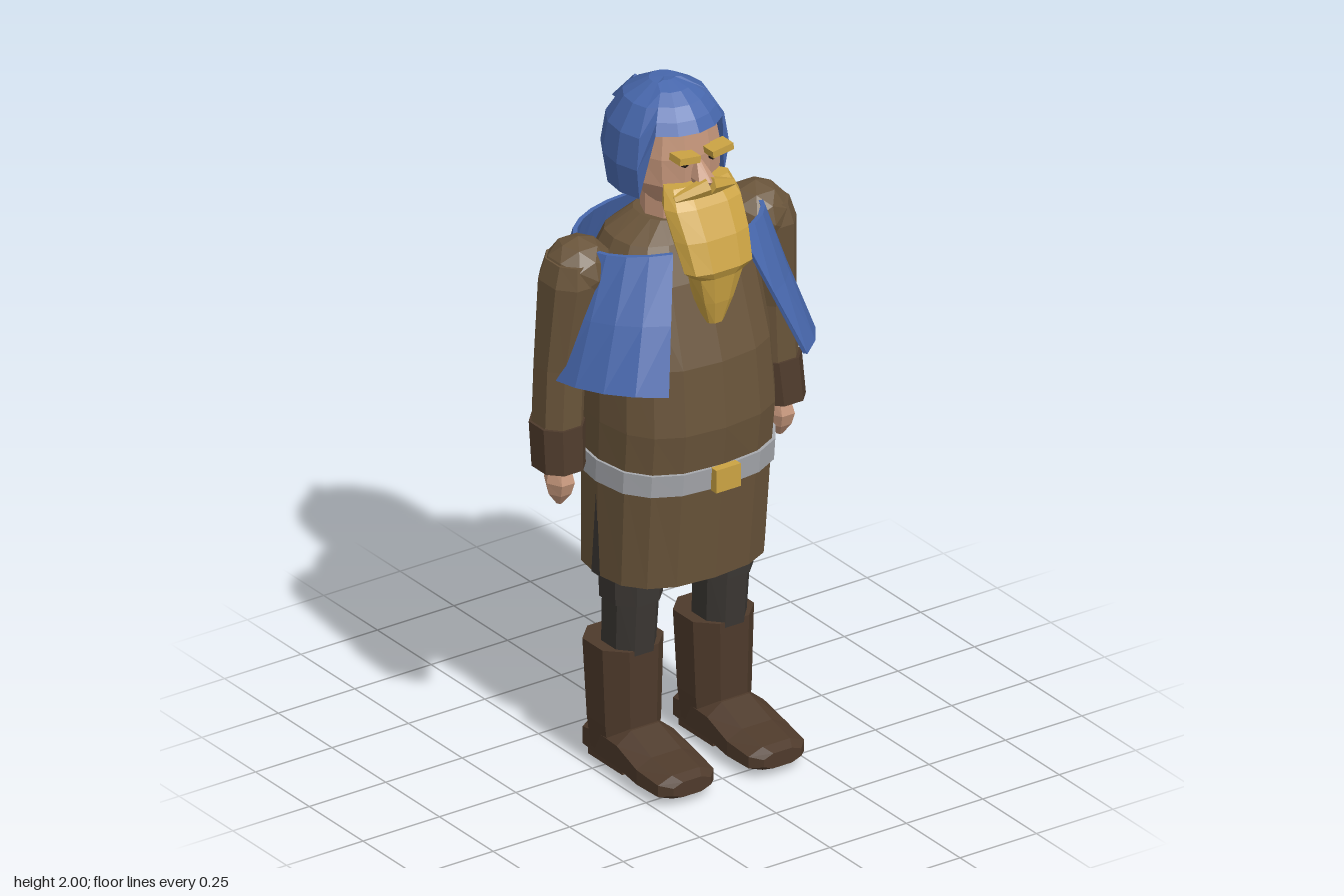
import * as THREE from 'three';

const mat = (name, color, side = THREE.FrontSide) =>
  Object.assign(new THREE.MeshStandardMaterial({ color, flatShading: true, side }), { name });

// Joins closed rings of points into a faceted skin, with optional end caps
function skin(rings, capStart = true, capEnd = true) {
  const pos = [], n = rings[0].length;
  const tri = (...p) => p.forEach(v => pos.push(v.x, v.y, v.z));
  const mid = r => r.reduce((s, v) => s.add(v), new THREE.Vector3()).divideScalar(n);
  for (let i = 0; i < rings.length - 1; i++) {
    for (let j = 0; j < n; j++) {
      const k = (j + 1) % n;
      const a = rings[i][j], c = rings[i][k], b = rings[i + 1][j], d = rings[i + 1][k];
      tri(a, c, b);
      tri(b, c, d);
    }
  }
  const first = rings[0], last = rings[rings.length - 1];
  for (let j = 0; j < n; j++) {
    const k = (j + 1) % n;
    if (capStart) tri(mid(first), first[k], first[j]);
    if (capEnd) tri(mid(last), last[j], last[k]);
  }
  const g = new THREE.BufferGeometry();
  g.setAttribute('position', new THREE.Float32BufferAttribute(pos, 3));
  g.computeVertexNormals();
  return g;
}

const bend = (v, e) => Math.sign(v) * Math.abs(v) ** e;

// Horizontal sections from top to bottom: [y, halfWidth, zFront, zBack, centreX]
function loft(sections, n = 8, e = 0.8, turn = 0) {
  return skin(sections.map(([y, w, zf, zb, cx = 0]) =>
    Array.from({ length: n }, (_, j) => {
      const a = (j + turn) / n * Math.PI * 2;
      return new THREE.Vector3(cx + w * bend(Math.cos(a), e), y,
        (zf + zb) / 2 + (zf - zb) / 2 * bend(Math.sin(a), e));
    })));
}

// Upright sections from heel to toe: [z, halfWidth, yLow, yHigh]
function footShape(sections, cx) {
  return skin(sections.map(([z, w, y0, y1]) =>
    Array.from({ length: 8 }, (_, j) => {
      const a = (j + 0.5) / 8 * Math.PI * 2;
      return new THREE.Vector3(cx + w * 1.05 * bend(Math.cos(a), 0.8),
        (y0 + y1) / 2 + (y1 - y0) / 2 * 1.05 * bend(Math.sin(a), 0.8), z);
    })));
}

// Cape wall wrapped around the back, open at the front
function capeShape() {
  const steps = 22, rings = [];
  for (let i = 0; i <= steps; i++) {
    const t = i / steps * 2 - 1, s = -Math.sign(t), u = Math.abs(t);
    const top = THREE.MathUtils.lerp(180, 23, u) * Math.PI / 180;
    const low = THREE.MathUtils.lerp(180, 35, u) * Math.PI / 180;
    const f = Math.cos(low);
    const at = (k, inset) => {
      const tx = s * Math.sin(top) * (0.285 - inset);
      const tz = Math.cos(top) * (0.195 - inset);
      const lx = s * Math.sin(low) * ((f > 0 ? 0.395 : 0.38) - inset);
      const lz = f * ((f > 0 ? 0.395 : 0.322) - inset);
      return new THREE.Vector3(tx + (lx - tx) * k, 1.575 + (1.215 + f * 0.028 - 1.575) * k, tz + (lz - tz) * k);
    };
    rings.push([at(0, 0), at(0.5, 0), at(1, 0), at(1, 0.013), at(0.5, 0.013), at(0, 0.013)]);
  }
  return skin(rings);
}

// Hood dome cut high over the face and low at the sides and back
function hoodShape() {
  const half = [0, 23, 46, 62, 85, 110, 135, 158];
  const angles = [...half, 180, ...half.slice(1).reverse().map(a => -a)].reverse();
  return skin([0.02, 0.16, 0.4, 0.7, 1].map(f => angles.map(deg => {
    const low = Math.abs(deg) < 50 ? 1.892 : 1.7;
    const y = 2 - f * (2 - low), a = deg * Math.PI / 180;
    const r = 0.171 * Math.sqrt(1 - Math.abs((y - 1.79) / 0.21) ** 2.2);
    return new THREE.Vector3(Math.sin(a) * r, y, -0.018 + Math.cos(a) * r * 1.06);
  })), true, false);
}

export function createModel() {
  const model = new THREE.Group();
  model.name = 'beardedTraveller';
  const cloth = mat('brown cloth', 0x69543a);
  const leather = mat('dark leather', 0x4e3a2b);
  const trousers = mat('charcoal trousers', 0x3b3733, THREE.DoubleSide);
  const blue = mat('blue wool', 0x4767ac, THREE.DoubleSide);
  const skinTone = mat('skin', 0xc4957a);
  const gold = mat('golden', 0xcba343);
  const silver = mat('silver belt', 0xa6a8ad);
  const dark = mat('eye black', 0x1c1613);
  const add = (name, geometry, material, x = 0, y = 0, z = 0) => {
    const m = new THREE.Mesh(geometry, material);
    m.name = name;
    m.position.set(x, y, z);
    model.add(m);
    return m;
  };

  // Torso
  add('tunic', loft([
    [1.615, 0.09, 0.08, -0.09], [1.57, 0.18, 0.13, -0.13], [1.47, 0.235, 0.18, -0.165],
    [1.25, 0.25, 0.25, -0.18], [1.06, 0.258, 0.268, -0.18], [0.92, 0.256, 0.25, -0.18],
    [0.59, 0.25, 0.217, -0.178]], 16, 0.78), cloth);
  add('belt', loft([[0.945, 0.264, 0.263, -0.188], [0.88, 0.264, 0.256, -0.188]], 16, 0.78), silver);
  add('buckle', new THREE.BoxGeometry(0.08, 0.068, 0.025), gold, 0, 0.912, 0.266);
  add('cape', capeShape(), blue);

  // Head
  add('neck', new THREE.CylinderGeometry(0.075, 0.08, 0.2, 8), skinTone, 0, 1.65, 0);
  add('head', loft([
    [1.95, 0.07, 0.09, -0.1], [1.9, 0.115, 0.128, -0.13], [1.82, 0.13, 0.14, -0.14],
    [1.74, 0.125, 0.135, -0.11], [1.67, 0.075, 0.1, -0.06]], 12, 0.85, 0.5), skinTone);
  add('hood', hoodShape(), blue);
  const tip = add('hoodTip', new THREE.ConeGeometry(0.06, 0.14, 4), blue, 0, 1.865, -0.2);
  tip.quaternion.setFromUnitVectors(new THREE.Vector3(0, 1, 0), new THREE.Vector3(0, -0.4, -1).normalize());
  add('nose', loft([[1.81, 0.01, 0.15, 0.12], [1.765, 0.03, 0.2, 0.12], [1.735, 0.018, 0.18, 0.12]], 6, 1, 0.5), skinTone);
  add('beard', loft([
    [1.75, 0.105, 0.16, 0.09], [1.7, 0.122, 0.205, 0.1], [1.62, 0.117, 0.248, 0.135],
    [1.535, 0.108, 0.274, 0.18], [1.51, 0.08, 0.262, 0.17], [1.43, 0.055, 0.25, 0.16],
    [1.36, 0.027, 0.232, 0.17]], 10, 0.75), gold);

  for (const s of [1, -1]) {
    // Face details
    add('eye', new THREE.CylinderGeometry(0.011, 0.011, 0.009, 6).rotateX(Math.PI / 2), dark, s * 0.045, 1.81, 0.138);
    add('eyebrow', new THREE.BoxGeometry(0.068, 0.02, 0.05), gold, s * 0.054, 1.838, 0.153).rotation.z = s * 0.13;
    const whisker = add('moustache', new THREE.CylinderGeometry(0.013, 0.027, 0.1, 6), gold, s * 0.048, 1.738, 0.172);
    whisker.rotation.set(0, s * 0.25, s * -1.85);

    // Arm
    add('shoulder', new THREE.IcosahedronGeometry(0.097, 1), cloth, s * 0.29, 1.507, -0.01);
    add('sleeve', loft([
      [1.55, 0.065, 0.07, -0.085, s * 0.315], [1.49, 0.08, 0.085, -0.1, s * 0.319],
      [1.24, 0.067, 0.055, -0.09, s * 0.345], [1.06, 0.067, 0.055, -0.09, s * 0.352]], 8, 0.85, 0.5), cloth);
    add('cuff', loft([
      [1.07, 0.073, 0.062, -0.095, s * 0.354], [0.945, 0.07, 0.075, -0.075, s * 0.36]], 8, 0.85, 0.5), leather);
    add('hand', loft([
      [0.96, 0.03, 0.03, -0.03, s * 0.358], [0.9, 0.042, 0.052, -0.045, s * 0.36],
      [0.865, 0.034, 0.04, -0.035, s * 0.36], [0.83, 0.008, 0.012, -0.008, s * 0.36]], 6, 1), skinTone);

    // Side slit of the tunic
    const slit = new THREE.Shape([[-0.02, 0], [0.02, 0], [0.003, 0.27]].map(p => new THREE.Vector2(...p)));
    const plate = add('tunicSlit', new THREE.ShapeGeometry(slit), trousers, s * 0.253, 0.592, 0.02);
    plate.rotation.y = s * Math.PI / 2;

    // Leg and boot
    const cx = s * 0.148;
    add('thigh', loft([[0.72, 0.09, 0.13, -0.06, cx], [0.51, 0.083, 0.12, -0.05, cx]], 8, 0.85, 0.5), trousers);
    add('shin', loft([[0.54, 0.075, 0.115, -0.045, cx], [0.34, 0.07, 0.1, -0.055, cx]], 8, 0.85, 0.5), trousers);
    add('bootShaft', loft([
      [0.37, 0.107, 0.103, -0.108, cx], [0.14, 0.098, 0.1, -0.095, cx],
      [0.05, 0.09, 0.1, -0.085, cx]], 8, 0.85, 0.5), leather);
    add('bootFoot', footShape([
      [-0.085, 0.075, 0.005, 0.11], [0.02, 0.09, 0.005, 0.14], [0.1, 0.094, 0.01, 0.138],
      [0.2, 0.1, 0.01, 0.1], [0.29, 0.092, 0.012, 0.082], [0.32, 0.062, 0.025, 0.07]], cx), leather);
    add('heel', new THREE.BoxGeometry(0.12, 0.05, 0.16), leather, cx, 0.025, 0);
  }
  return model;
}
